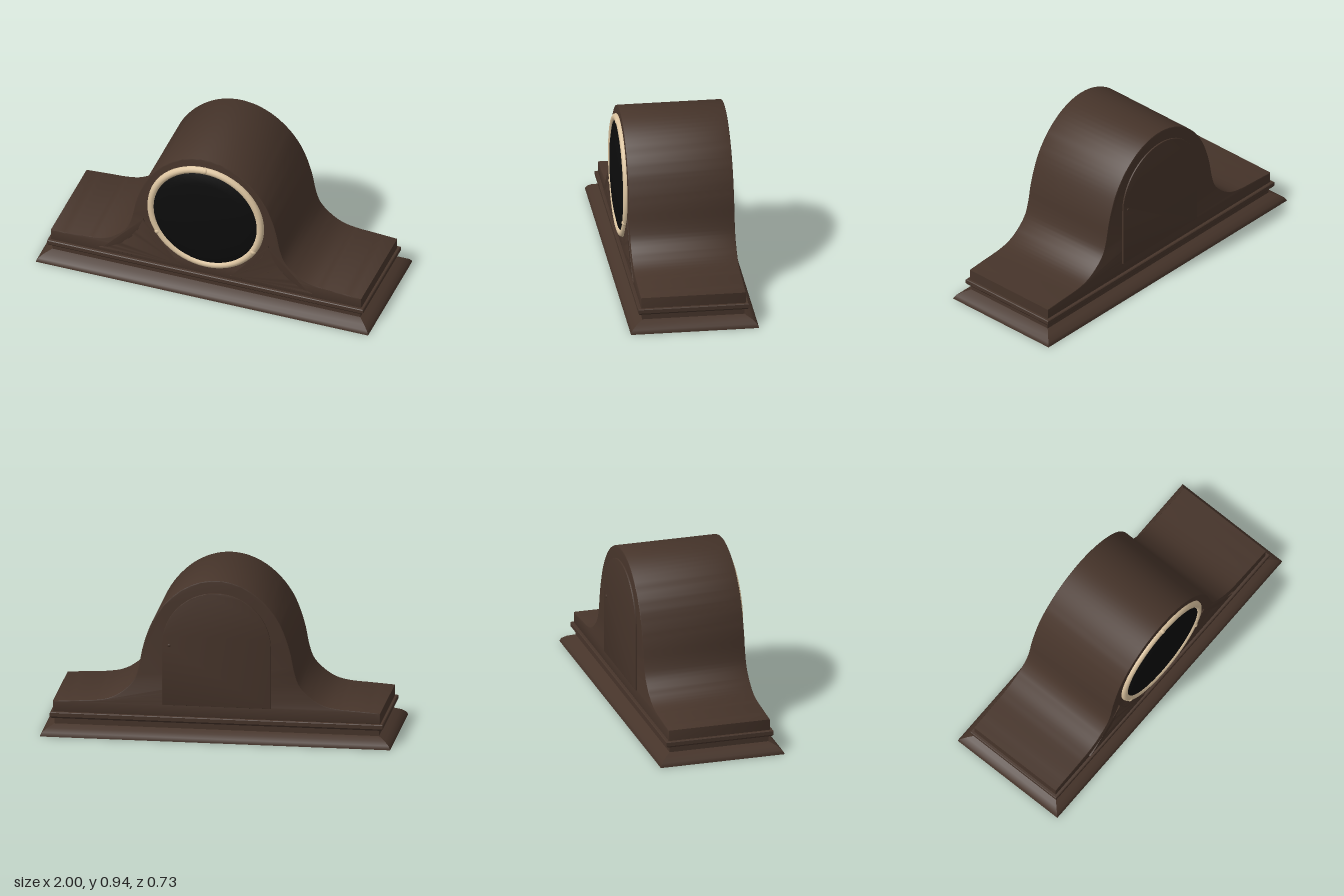
import * as THREE from 'three';
import { toCreasedNormals } from 'three/addons/utils/BufferGeometryUtils.js';

const material = (name, color) => new THREE.MeshStandardMaterial({ name, color });
const DIAL_Y = 0.537;

export function createModel() {
  const wood = material('darkWood', 0x46342a);
  const brass = material('paleBrass', 0xdcc4a0);
  const black = material('blackDial', 0x0c0c0c);
  const root = new THREE.Group();
  root.name = 'mantelClock';

  const add = (name, geometry, mat, parent = root) => {
    const mesh = new THREE.Mesh(geometry, mat);
    mesh.name = name;
    parent.add(mesh);
    return mesh;
  };
  const extrude = (shape, depth, bevel, z) => {
    const g = new THREE.ExtrudeGeometry(shape, {
      depth: depth - 2 * bevel, bevelEnabled: bevel > 0, bevelSize: bevel, bevelThickness: bevel,
      bevelOffset: -bevel, bevelSegments: 2, curveSegments: 20,
    });
    return toCreasedNormals(g.translate(0, 0, z + bevel), 0.6);
  };

  // Moulded plinth: rectangular rings [outward offset, height]
  const profile = [[0.065, 0], [0.065, 0.005], [0.055, 0.022], [0.03, 0.042], [-0.008, 0.06], [-0.008, 0.095],
    [0.008, 0.096], [0.016, 0.106], [0.016, 0.127], [0.012, 0.131], [-0.01, 0.132]];
  const corners = [[-1, 1], [1, 1], [1, -1], [-1, -1]];
  const pos = [];
  const at = (i, k) => {
    const [o, y] = profile[i];
    const [sx, sz] = corners[k % 4];
    return [sx * (0.935 + o), y, sz * (0.3 + o)];
  };
  const quad = (a, b, c, d) => pos.push(...a, ...b, ...c, ...a, ...c, ...d);
  for (let i = 0; i < profile.length - 1; i++) {
    for (let k = 0; k < 4; k++) quad(at(i, k), at(i, k + 1), at(i + 1, k + 1), at(i + 1, k));
  }
  const last = profile.length - 1;
  quad(at(0, 3), at(0, 2), at(0, 1), at(0, 0));
  quad(at(last, 0), at(last, 1), at(last, 2), at(last, 3));
  const plinth = new THREE.BufferGeometry();
  plinth.setAttribute('position', new THREE.Float32BufferAttribute(pos, 3));
  add('plinth', toCreasedNormals(plinth, 0.6), wood);

  // Humped case, mirrored about the centre
  const half = [[0.935, 0.195], [0.8, 0.204], [0.69, 0.211], [0.61, 0.228], [0.54, 0.268], [0.475, 0.335], [0.447, 0.41],
    [0.425, 0.52], [0.395, 0.62], [0.355, 0.71], [0.29, 0.8], [0.2, 0.878], [0.1, 0.925]];
  const outline = new THREE.CatmullRomCurve3(
    [...half, [0, 0.94], ...half.slice().reverse().map(([x, y]) => [-x, y])].map(([x, y]) => new THREE.Vector3(x, y, 0)));
  const caseShape = new THREE.Shape();
  caseShape.moveTo(-0.935, 0.13);
  caseShape.lineTo(0.935, 0.13);
  outline.getPoints(90).forEach((p) => caseShape.lineTo(p.x, p.y));
  caseShape.closePath();
  add('case', extrude(caseShape, 0.6, 0.006, -0.3), wood);

  // Domed dial
  const dome = new THREE.LatheGeometry([[0.32, 0], [0.31, 0.012], [0.25, 0.025], [0.17, 0.034], [0.08, 0.039], [0, 0.04]]
    .map(([r, y]) => new THREE.Vector2(r, y)), 48);
  add('dial', dome.rotateX(Math.PI / 2).translate(0, DIAL_Y, 0.3), black);

  // Bezel ring with three clusters of small ornaments
  const ring = new THREE.TorusGeometry(0.329, 0.022, 12, 64);
  add('bezel', ring.translate(0, DIAL_Y, 0.3), brass);
  [90, 210, 330].forEach((deg) => {
    const ornament = new THREE.Group();
    ornament.name = 'bezelOrnament';
    ornament.position.set(0, DIAL_Y, 0.308);
    ornament.rotation.z = THREE.MathUtils.degToRad(deg);
    root.add(ornament);
    add('bead', new THREE.SphereGeometry(0.018, 12, 8), brass, ornament).position.set(0.333, 0, 0);
    [-1, 1].forEach((s) => {
      const leaf = add('leaf', new THREE.SphereGeometry(0.014, 12, 8), brass, ornament);
      leaf.scale.set(0.8, 2.2, 1);
      leaf.position.set(0.328, s * 0.035, 0);
      leaf.rotation.z = s * 0.25;
    });
  });

  // Concave triangular outline, shrunk towards its middle by k
  const triangle = (Kind, k) => {
    const p = (x, y) => [0.375 + (x - 0.375) * k, 0.245 + (y - 0.245) * k];
    const s = new Kind();
    s.moveTo(...p(0.15, 0.16));
    s.lineTo(...p(0.64, 0.16));
    s.quadraticCurveTo(...p(0.45, 0.22), ...p(0.375, 0.43));
    s.quadraticCurveTo(...p(0.31, 0.25), ...p(0.15, 0.16));
    return s;
  };

  // Carved spandrel on each side of the dial
  [1, -1].forEach((side) => {
    const carving = new THREE.Group();
    carving.name = side > 0 ? 'leftSpandrel' : 'rightSpandrel';
    root.add(carving);
    [[1, 0.9, 0.007], [0.82, 0.74, 0.004]].forEach(([outer, inner, depth]) => {
      const frame = triangle(THREE.Shape, outer);
      frame.holes.push(triangle(THREE.Path, inner));
      const g = extrude(frame, depth + 0.003, 0.0015, 0.297);
      if (side < 0) g.rotateY(Math.PI).translate(0, 0, 0.604 + depth - 0.004);
      add('spandrelFrame', g, wood, carving);
    });
    const flower = new THREE.Group();
    flower.name = 'flower';
    flower.position.set(side * 0.375, 0.245, 0.3);
    carving.add(flower);
    add('flowerCentre', new THREE.SphereGeometry(0.013, 12, 8), wood, flower).scale.z = 0.6;
    for (let i = 0; i < 6; i++) {
      const a = Math.PI / 2 + (i * Math.PI) / 3;
      const petal = add('petal', new THREE.SphereGeometry(0.02, 12, 8), wood, flower);
      petal.position.set(Math.cos(a) * 0.032, Math.sin(a) * 0.032, 0);
      petal.rotation.z = a;
      petal.scale.set(1, 0.55, 0.35);
    }
    [-1, 1].forEach((s) => {
      const leaf = add('carvedLeaf', new THREE.SphereGeometry(0.022, 12, 8), wood, flower);
      leaf.position.set(s * 0.075, -0.035, 0);
      leaf.rotation.z = s * -0.35;
      leaf.scale.set(1, 0.4, 0.3);
    });
  });

  // Arched back door with a small knob
  const door = new THREE.Shape();
  door.moveTo(-0.31, 0.198);
  door.lineTo(0.31, 0.198);
  door.absarc(0, 0.556, 0.31, 0, Math.PI, false);
  door.closePath();
  add('backDoor', extrude(door, 0.015, 0.002, -0.308), wood);
  const knob = add('doorKnob', new THREE.SphereGeometry(0.01, 12, 8), wood);
  knob.position.set(0.27, 0.55, -0.307);
  knob.scale.z = 0.5;

  return root;
}
